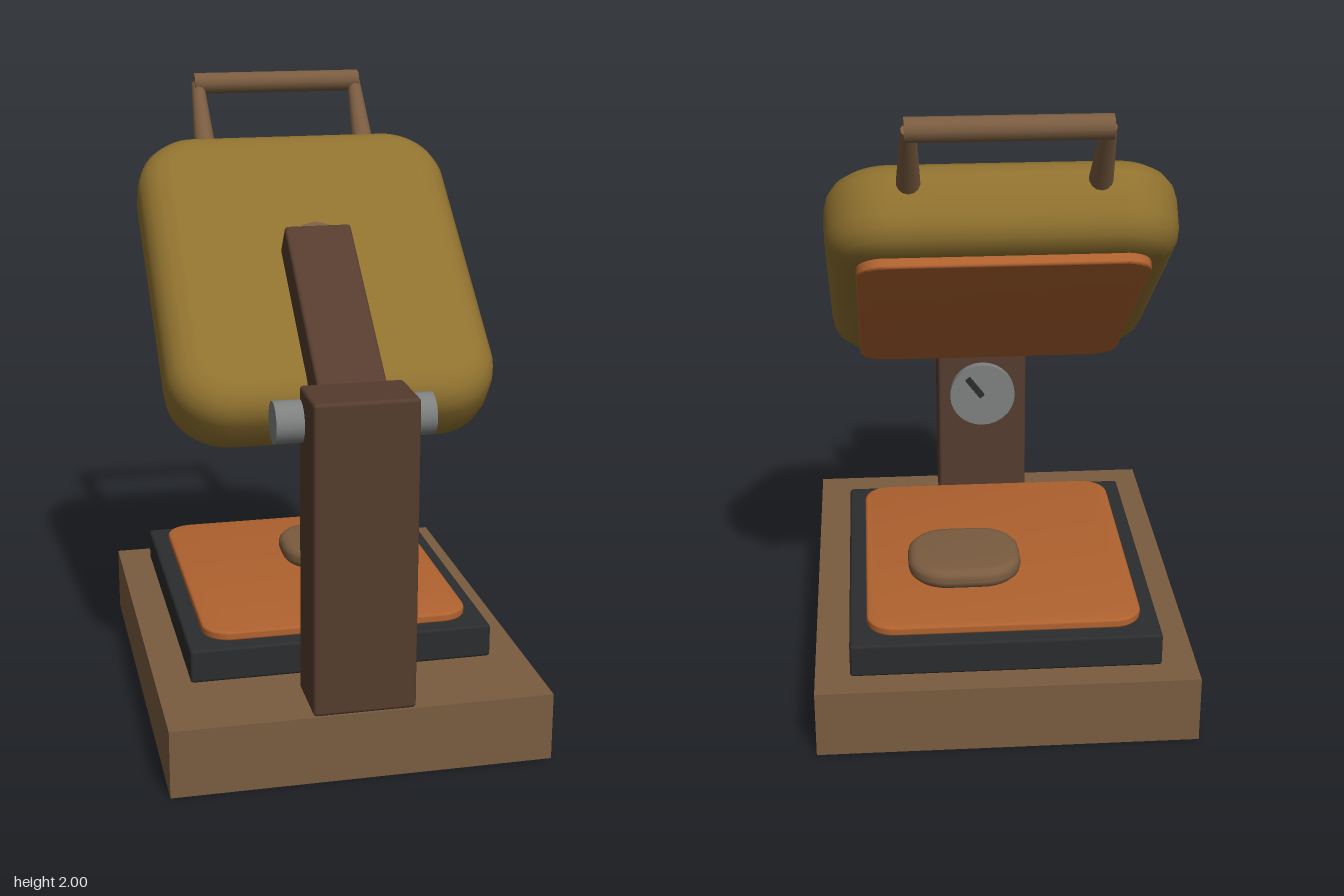
import * as THREE from 'three';
import { toCreasedNormals } from 'three/addons/utils/BufferGeometryUtils.js';
import { RoundedBoxGeometry } from 'three/addons/geometries/RoundedBoxGeometry.js';

const mat = (name, color) => {
  const m = new THREE.MeshStandardMaterial({ color });
  m.name = name;
  return m;
};

// Flat slab with rounded corners and rounded rim, centred on its origin
function slab(w, h, d, corner, bevel, steps = 3) {
  const x = w / 2 - bevel, y = d / 2 - bevel, r = corner - bevel;
  const s = new THREE.Shape();
  s.absarc(x - r, y - r, r, 0, Math.PI / 2);
  s.absarc(r - x, y - r, r, Math.PI / 2, Math.PI);
  s.absarc(r - x, r - y, r, Math.PI, Math.PI * 1.5);
  s.absarc(x - r, r - y, r, Math.PI * 1.5, Math.PI * 2);
  const g = new THREE.ExtrudeGeometry(s, {
    depth: h - 2 * bevel, bevelThickness: bevel, bevelSize: bevel,
    bevelSegments: steps, curveSegments: 6,
  });
  g.translate(0, 0, bevel - h / 2);
  g.rotateX(-Math.PI / 2);
  return toCreasedNormals(g, 0.8);
}

export function createModel() {
  const model = new THREE.Group();
  model.name = 'heatPress';
  const wood = mat('warm brown', 0x7a5c40);
  const dark = mat('dark brown', 0x553c2e);
  const olive = mat('olive', 0x8f712f);
  const copper = mat('copper orange', 0xb0622f);
  const black = mat('charcoal', 0x2b2c2d);
  const grey = mat('grey metal', 0x7f8080);

  const add = (parent, name, geometry, material, x = 0, y = 0, z = 0) => {
    const m = new THREE.Mesh(geometry, material);
    m.name = name;
    m.position.set(x, y, z);
    parent.add(m);
    return m;
  };

  // Base, lower platen, pad and the small puck resting on it
  add(model, 'base', new THREE.BoxGeometry(1.2, 0.22, 1.48), wood, 0, 0.11, 0);
  add(model, 'lowerPlaten', new RoundedBoxGeometry(0.98, 0.11, 1.085, 2, 0.01), black, 0, 0.275, -0.108);
  add(model, 'lowerPad', slab(0.87, 0.03, 0.985, 0.09, 0.008, 2), copper, 0, 0.345, -0.108);
  add(model, 'puck', slab(0.37, 0.065, 0.325, 0.13, 0.028), wood, 0.11, 0.39, -0.217);

  // Post and hinge pin
  add(model, 'post', new RoundedBoxGeometry(0.32, 0.985, 0.213, 2, 0.012), dark, 0, 0.712, 0.633);
  add(model, 'hingePin', new THREE.CylinderGeometry(0.065, 0.065, 0.49, 24), grey, 0, 1.1, 0.55).rotation.z = Math.PI / 2;

  // Dial on the inner face of the post
  add(model, 'dial', new THREE.CylinderGeometry(0.118, 0.118, 0.03, 28), grey, 0, 0.66, 0.513).rotation.x = Math.PI / 2;
  add(model, 'dialPointer', new THREE.BoxGeometry(0.02, 0.085, 0.02), black, 0.028, 0.695, 0.49).rotation.z = -0.65;

  // Raised head, built flat and tilted about x
  const head = new THREE.Group();
  head.name = 'tiltedHead';
  head.rotation.x = THREE.MathUtils.degToRad(38);
  model.add(head);
  add(head, 'headShell', slab(1.05, 0.28, 1.17, 0.2, 0.1, 4), olive, 0, 1.03, -0.91);
  add(head, 'upperPlate', slab(0.87, 0.035, 0.985, 0.09, 0.008, 2), copper, 0, 0.876, -0.905);
  add(head, 'arm', new RoundedBoxGeometry(0.215, 0.16, 0.74, 2, 0.012), dark, 0, 1.2, -0.575);
  add(head, 'armKnob', new THREE.CylinderGeometry(0.075, 0.085, 0.14, 10), wood, 0, 1.178, -0.91);

  // Carrying handle: two tapered uprights and a grip
  const foot = new THREE.Vector3(0, 1.74, -0.485), top = new THREE.Vector3(0, 1.965, -0.652);
  const dir = top.clone().sub(foot);
  const mid = foot.clone().add(top).multiplyScalar(0.5);
  for (const side of [-1, 1]) {
    const leg = add(model, 'handleUpright', new THREE.CylinderGeometry(0.022, 0.038, dir.length(), 14),
      wood, side * 0.277, mid.y, mid.z);
    leg.quaternion.setFromUnitVectors(new THREE.Vector3(0, 1, 0), dir.clone().normalize());
  }
  add(model, 'handleGrip', new THREE.CylinderGeometry(0.036, 0.036, 0.58, 14), wood, 0, top.y, top.z).rotation.z = Math.PI / 2;

  return model;
}
